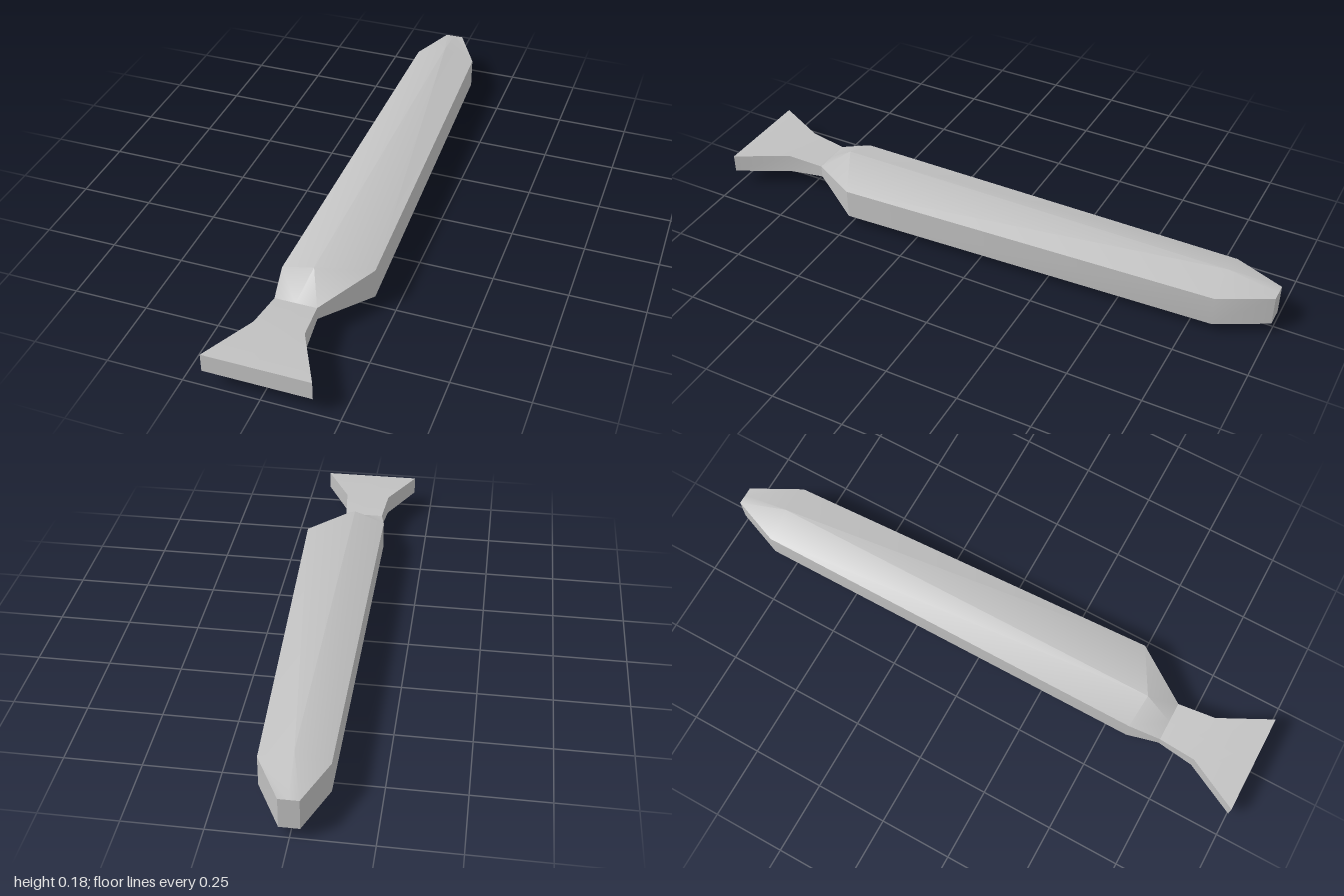
import * as THREE from 'three';
import { toCreasedNormals } from 'three/addons/utils/BufferGeometryUtils.js';

const MID = 0.093; // height of the centre plane

// Six-sided ring: right, ridge and left points [x, half height, z], mirrored top to bottom
function ring([right, ridge, left]) {
  const at = ([x, h, z], s) => [x, MID + s * h, z];
  return [at(right, -1), at(right, 1), at(ridge, 1), at(left, 1), at(left, -1), at(ridge, -1)];
}

// Skin rings running from front to back, with optional end caps
function loft(stations, capFront, capBack) {
  const rings = stations.map(ring);
  const pos = [];
  const tri = (a, b, c) => pos.push(...a, ...b, ...c);
  for (let i = 0; i < rings.length - 1; i++) {
    for (let j = 0; j < 6; j++) {
      const k = (j + 1) % 6;
      const a = rings[i][j], b = rings[i][k], c = rings[i + 1][k], d = rings[i + 1][j];
      tri(a, d, c);
      tri(a, c, b);
    }
  }
  const last = rings[rings.length - 1];
  for (let j = 1; j < 5; j++) {
    if (capFront) tri(rings[0][0], rings[0][j], rings[0][j + 1]);
    if (capBack) tri(last[0], last[j + 1], last[j]);
  }
  const geometry = new THREE.BufferGeometry();
  geometry.setAttribute('position', new THREE.Float32BufferAttribute(pos, 3));
  return toCreasedNormals(geometry, THREE.MathUtils.degToRad(34));
}

// Flat-topped station for the tail
const flat = (right, left, h, z) => [[right, h, z], [(right + left) / 2, h, z], [left, h, z]];

export function createModel() {
  const group = new THREE.Group();
  group.name = 'fish';
  const grey = new THREE.MeshStandardMaterial({ color: 0xc0c0c0 });
  grey.name = 'light grey';

  const neck = flat(0.06, -0.08, 0.022, 0.69);

  // Long ridged body with one bulging side
  const body = new THREE.Mesh(loft([
    neck,
    [[0.181, 0.053, 0.5], [0.013, 0.091, 0.59], [-0.099, 0.053, 0.58]],
    [[0.122, 0.053, -0.83], [0.01, 0.091, -0.83], [-0.099, 0.053, -0.83]],
    flat(0.032, -0.032, 0.053, -1),
  ], false, true), grey);
  body.name = 'body';

  // Flared tail fin
  const tail = new THREE.Mesh(loft([
    flat(0.166, -0.183, 0.032, 1),
    flat(0.072, -0.092, 0.034, 0.82),
    neck,
  ], true, false), grey);
  tail.name = 'tailFin';

  group.add(body, tail);
  return group;
}
